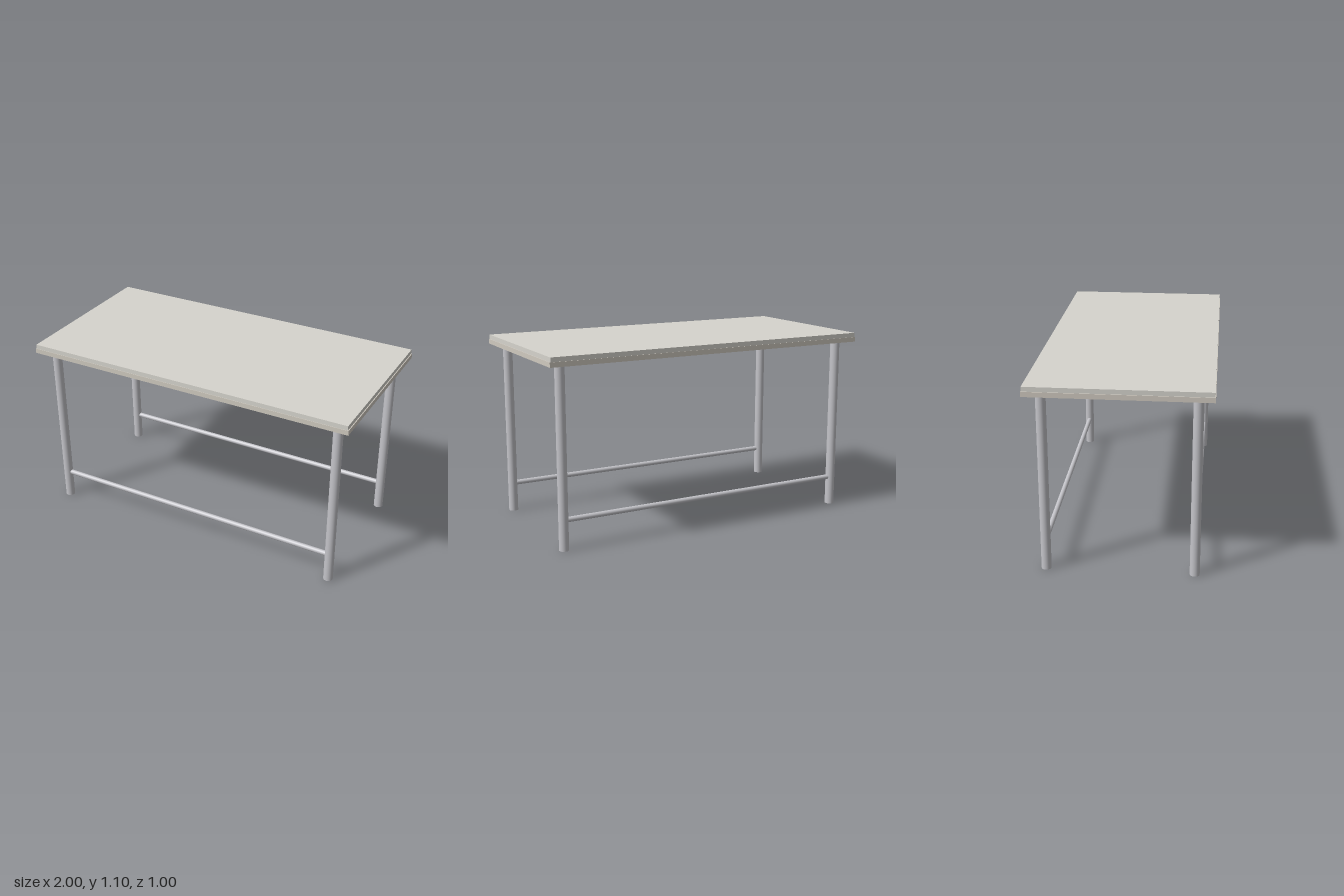
import * as THREE from 'three';

const mat = (color) => new THREE.MeshStandardMaterial({ color });

export function createModel() {
  const table = new THREE.Group();
  table.name = 'table';
  const steel = mat(0xc4c4c9);

  const add = (name, geometry, material, x, y, z) => {
    const mesh = new THREE.Mesh(geometry, material);
    mesh.name = name;
    mesh.position.set(x, y, z);
    table.add(mesh);
    return mesh;
  };

  // Two-layer table top, the upper sheet set in slightly from the board
  const bottom = 1.043, seam = 1.071, top = 1.097;
  add('topBoard', new THREE.BoxGeometry(2, seam - bottom, 1), mat(0xd0cac0), 0, (bottom + seam) / 2, 0);
  add('topSheet', new THREE.BoxGeometry(1.99, top - seam, 0.994), mat(0xd6d4cd), 0, (seam + top) / 2, 0);

  // Round legs at the corners, with a long rail between each pair
  const legX = 0.913, legZ = 0.413, legRadius = 0.028;
  const legGeometry = new THREE.CylinderGeometry(legRadius, legRadius, bottom, 32);
  const railGeometry = new THREE.CylinderGeometry(0.015, 0.015, 2 * (legX - legRadius) + 0.01, 24);
  railGeometry.rotateZ(Math.PI / 2);
  for (const [end, sz] of [['front', 1], ['back', -1]]) {
    for (const [side, sx] of [['Left', 1], ['Right', -1]]) {
      add(`${end}${side}Leg`, legGeometry, steel, sx * legX, bottom / 2, sz * legZ);
    }
    add(`${end}Rail`, railGeometry, steel, 0, 0.174, sz * legZ);
  }
  return table;
}
